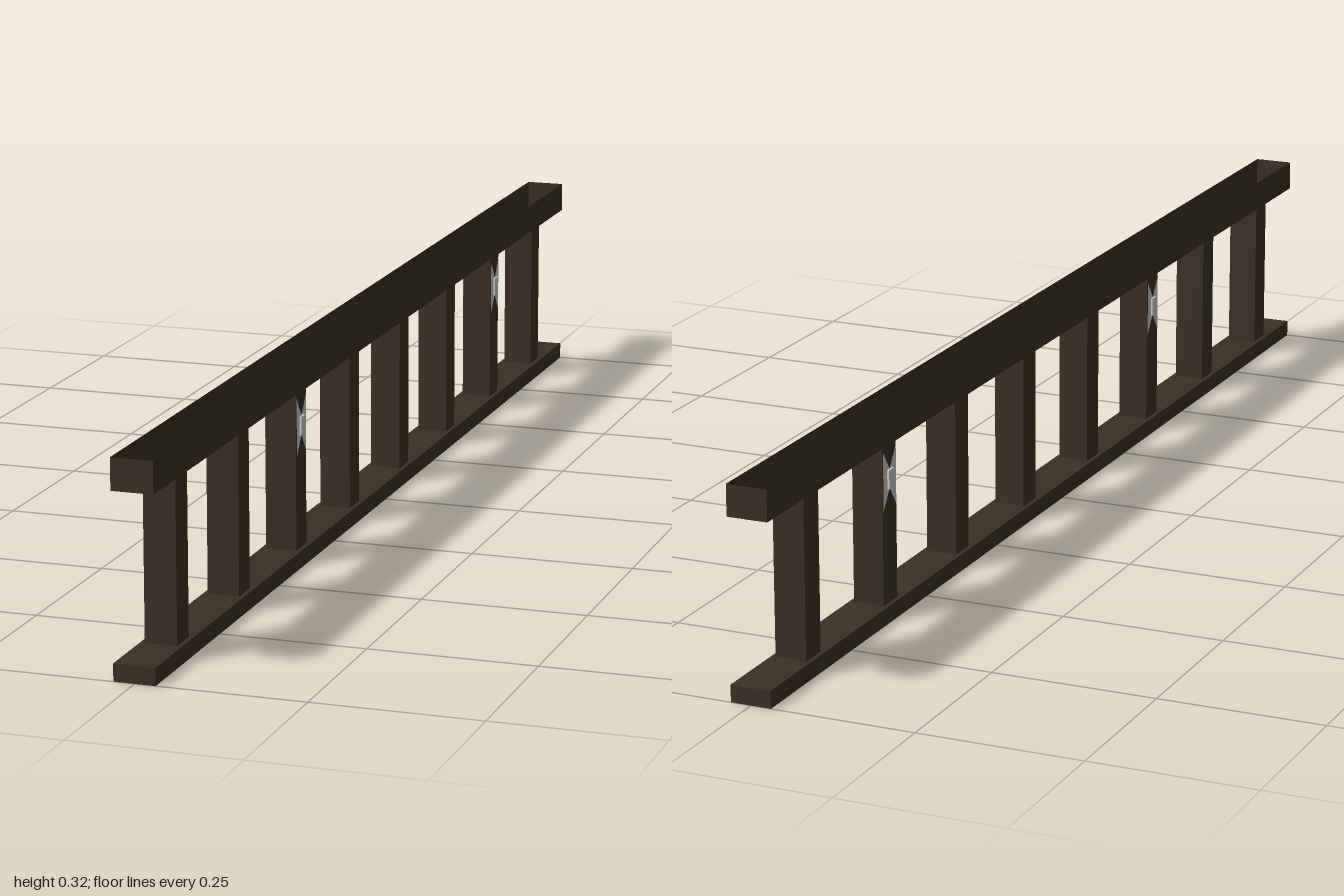
import * as THREE from 'three';

// Box shell with one face left out (2 = top, 3 = bottom)
function openBox(w, h, d, face) {
  const g = new THREE.BoxGeometry(w, h, d);
  const index = Array.from(g.index.array);
  index.splice(face * 6, 6);
  g.setIndex(index);
  g.clearGroups();
  return g;
}

export function createModel() {
  const model = new THREE.Group();
  model.name = 'railing';

  const wood = new THREE.MeshStandardMaterial({ color: 0x3b3025, side: THREE.DoubleSide });
  wood.name = 'dark wood';
  const metal = new THREE.MeshStandardMaterial({ color: 0xcccccc, side: THREE.DoubleSide });
  metal.name = 'pale metal';

  const add = (name, geometry, material, x, y, z) => {
    const mesh = new THREE.Mesh(geometry, material);
    mesh.name = name;
    mesh.position.set(x, y, z);
    model.add(mesh);
    return mesh;
  };

  // Rails: hollow channels, open at the top and at the bottom
  add('topRail', openBox(0.062, 0.047, 2, 2), wood, 0, 0.2935, 0);
  add('bottomRail', openBox(0.062, 0.026, 2, 3), wood, 0, 0.013, 0);

  // Hourglass plate: tall at both edges, narrow at the waist
  const bow = new THREE.Shape([
    [-0.021, -0.045], [0, -0.0145], [0.021, -0.045],
    [0.021, 0.045], [0, 0.0145], [-0.021, 0.045],
  ].map(([x, y]) => new THREE.Vector2(x, y)));
  const bowGeometry = new THREE.ShapeGeometry(bow);
  const claspGeometry = new THREE.BoxGeometry(0.004, 0.029, 0.016);

  // Evenly spaced posts, two of them with plates on both sides
  const postGeometry = new THREE.BoxGeometry(0.048, 0.244, 0.045);
  for (let i = 0; i < 8; i++) {
    const z = 0.877 - i * 0.2476;
    add('post', postGeometry, wood, 0, 0.148, z);
    if (i !== 2 && i !== 6) continue;
    for (const side of [-1, 1]) {
      const plate = add('plate', bowGeometry, metal, side * 0.0248, 0.2145, z);
      plate.rotation.y = side * Math.PI / 2;
      add('clasp', claspGeometry, metal, side * 0.026, 0.2145, z);
    }
  }
  return model;
}
